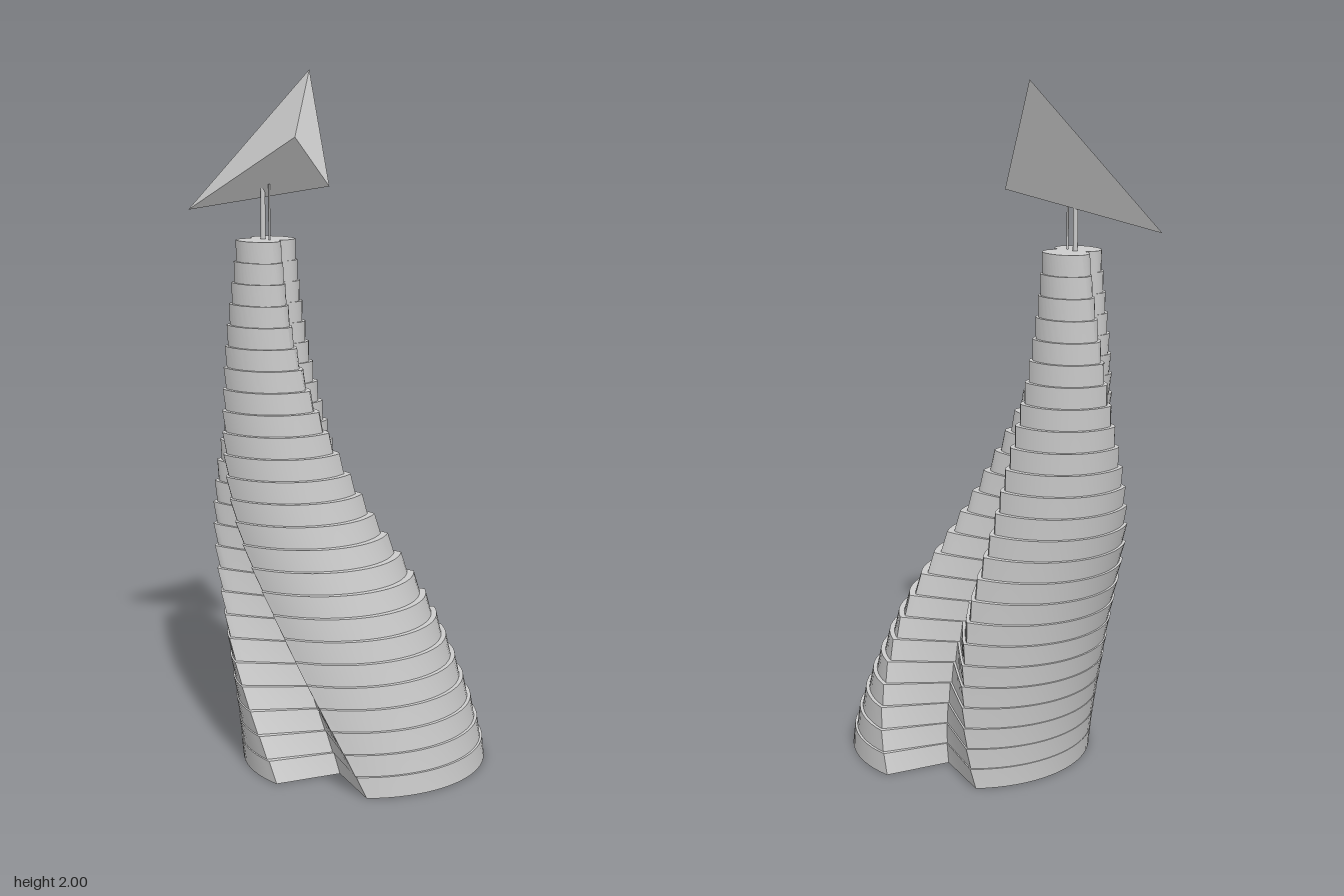
import * as THREE from 'three';
import { toCreasedNormals } from 'three/addons/utils/BufferGeometryUtils.js';
import { ConvexGeometry } from 'three/addons/geometries/ConvexGeometry.js';

const material = new THREE.MeshStandardMaterial({ color: 0xcccccc });
const RAD = Math.PI / 180;
const HEIGHT = 1.52;
const LAYERS = 25;

// Tower spine: x = sideways offset of the centre, y = radius, at even heights
const spine = new THREE.SplineCurve([
  [0.113, 0.358], [0.015, 0.314], [-0.128, 0.229], [-0.19, 0.138], [-0.197, 0.083],
].map(([x, r]) => new THREE.Vector2(x, r)));

// Twist eases off towards the top
const twist = (t) => (120 * t - 20 * t * t) * RAD;

// Two-lobed section: sharp V notches at the base (t = 0), rounded cusps at the top (t = 1)
function lobedSection(r, t) {
  const h = (22.7 + 22 * t) * RAD;
  const corner = new THREE.Vector2(Math.sin(h), Math.cos(h));
  const control = corner.clone().lerp(new THREE.Vector2(0.12, 0.95), t * t);
  const apex = new THREE.Vector2(0, 0.53 - 0.08 * t);
  const quarter = [];
  for (let i = 0; i <= 14; i++) {
    const a = (Math.PI / 2 - h) * i / 14;
    quarter.push(new THREE.Vector2(Math.cos(a), Math.sin(a)));
  }
  quarter.push(...new THREE.QuadraticBezierCurve(corner, control, apex).getPoints(6).slice(1));
  const mirror = (sx, sy) => quarter.map((p) => new THREE.Vector2(p.x * sx, p.y * sy));
  const outline = [
    ...quarter,
    ...mirror(-1, 1).reverse().slice(1),
    ...mirror(-1, -1).slice(1),
    ...mirror(1, -1).reverse().slice(1, -1),
  ];
  return new THREE.Shape(outline.map((p) => p.multiplyScalar(r)));
}

// One floor slab, its top shifted and twisted towards the next slab
function slab(k) {
  const t = k / LAYERS;
  const tTop = (k + 0.75) / LAYERS;
  const flatten = 1 - 0.07 * Math.sin(Math.PI * t);
  const geo = new THREE.ExtrudeGeometry(lobedSection(spine.getPoint(t).y, t), { depth: 1, bevelEnabled: false });
  const pos = geo.attributes.position;
  for (let i = 0; i < pos.count; i++) {
    const level = pos.getZ(i);
    const u = level > 0.5 ? tTop : t;
    const c = Math.cos(twist(u)), s = Math.sin(twist(u));
    const x = pos.getX(i), z = -pos.getY(i);
    pos.setXYZ(i, spine.getPoint(u).x + x * c - z * s, (k + level) * HEIGHT / LAYERS, (x * s + z * c) * flatten);
  }
  geo.computeVertexNormals();
  const mesh = new THREE.Mesh(toCreasedNormals(geo, 30 * RAD), material);
  mesh.name = 'slab';
  return mesh;
}

function rod(x, z, radius, top) {
  const bottom = HEIGHT - 0.02;
  const mesh = new THREE.Mesh(new THREE.CylinderGeometry(radius, radius, top - bottom, 10), material);
  mesh.position.set(x, (top + bottom) / 2, z);
  mesh.name = 'supportRod';
  return mesh;
}

export function createModel() {
  const model = new THREE.Group();
  model.name = 'twistedTower';

  // Stack of notched slabs
  const tower = new THREE.Group();
  tower.name = 'tower';
  for (let k = 0; k < LAYERS; k++) tower.add(slab(k));
  model.add(tower);

  // Rods carrying the top piece
  const rods = new THREE.Group();
  rods.name = 'supportRods';
  rods.add(rod(-0.207, -0.004, 0.007, 1.67), rod(-0.178, 0.016, 0.003, 1.68));
  model.add(rods);

  // Slanted four-sided top piece
  const vane = new THREE.Mesh(new ConvexGeometry([
    new THREE.Vector3(-0.47, 1.59, -0.05),
    new THREE.Vector3(-0.11, 2, -0.12),
    new THREE.Vector3(0.01, 1.68, 0.02),
    new THREE.Vector3(-0.065, 1.82, 0.09),
  ]), material);
  vane.name = 'topPyramid';
  model.add(vane);

  return model;
}
